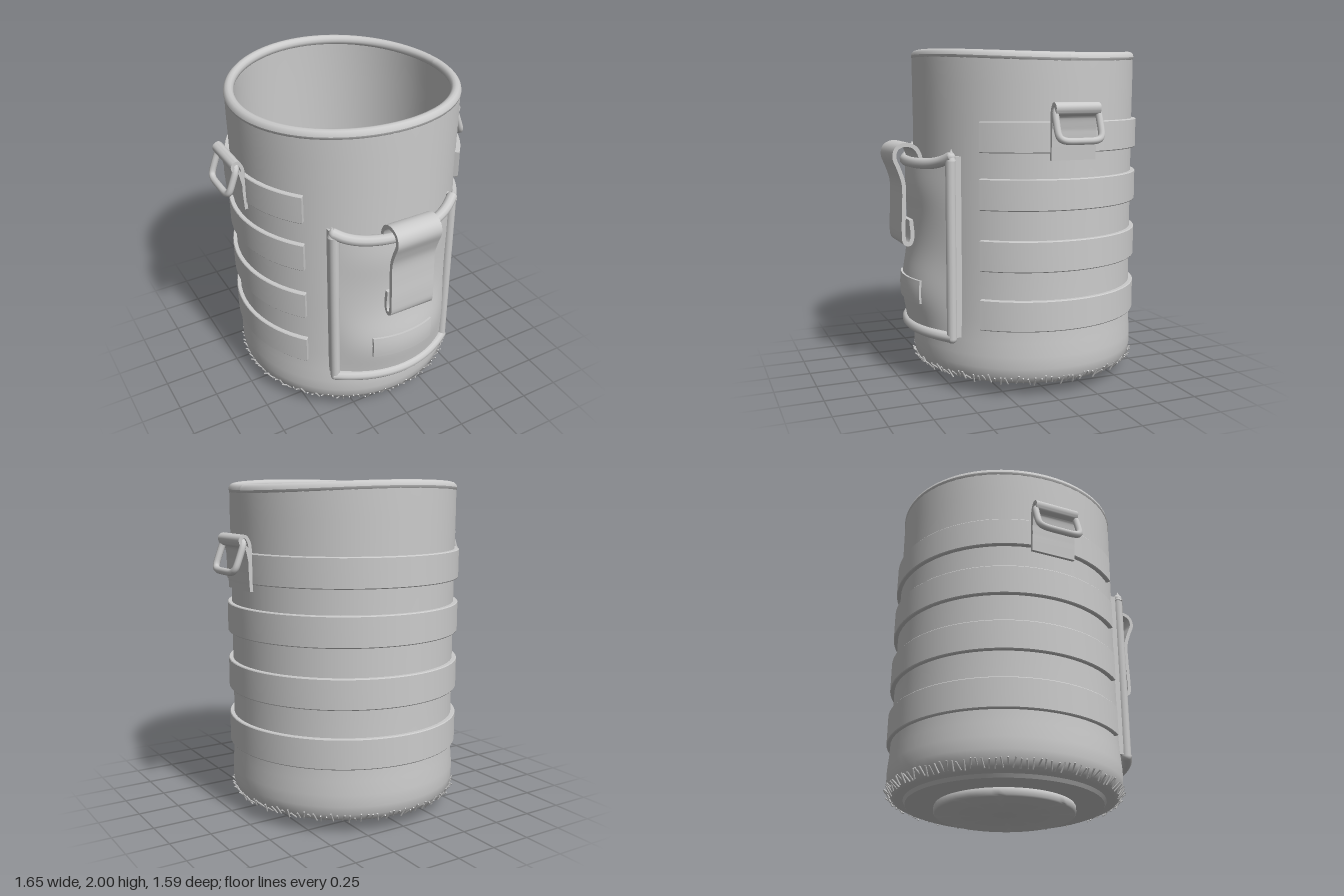
import * as THREE from 'three';
import { toCreasedNormals, mergeGeometries } from 'three/addons/utils/BufferGeometryUtils.js';

const CZ = -0.085; // axis of the bag along z
const grey = new THREE.MeshStandardMaterial({ color: 0xcccccc });
const greyBoth = new THREE.MeshStandardMaterial({ color: 0xcccccc, side: THREE.DoubleSide });

function add(parent, name, geometry, material = grey) {
  const mesh = new THREE.Mesh(geometry, material);
  mesh.name = name;
  parent.add(mesh);
  return mesh;
}

// Move every vertex by a rule
function warp(geometry, rule) {
  const p = geometry.attributes.position;
  const v = new THREE.Vector3();
  for (let i = 0; i < p.count; i++) {
    rule(v.fromBufferAttribute(p, i));
    p.setXYZ(i, v.x, v.y, v.z);
  }
  geometry.computeVertexNormals();
  return geometry;
}

// The opening sags a little at its left and right
const rimDip = (v, r) => 0.028 * (v.x / r) ** 2 * THREE.MathUtils.smoothstep(v.y, 1.6, 1.95);

// Folded webbing: profile points are [z, y], extruded across x
function ribbon(points, thickness, width) {
  const curve = new THREE.CatmullRomCurve3(points.map(([z, y]) => new THREE.Vector3(z, y, 0)));
  const n = 48, a = [], b = [];
  for (let i = 0; i <= n; i++) {
    const p = curve.getPoint(i / n), t = curve.getTangent(i / n);
    const h = thickness / 2;
    a.push(new THREE.Vector2(p.x - t.y * h, p.y + t.x * h));
    b.unshift(new THREE.Vector2(p.x + t.y * h, p.y - t.x * h));
  }
  const g = new THREE.ExtrudeGeometry(new THREE.Shape([...a, ...b]), { depth: width, bevelEnabled: false });
  g.translate(0, 0, -width / 2).rotateY(-Math.PI / 2);
  return toCreasedNormals(g, 0.7);
}

function tube(points, radius, closed = false, segments = 64) {
  const curve = new THREE.CatmullRomCurve3(points, closed);
  return new THREE.TubeGeometry(curve, segments, radius, 10, closed);
}

// Pouch curvature: frame line, and the bulging panel inside it
const frameZ = (x) => 0.52 + 0.14 * (1 - (x / 0.4) ** 2);
const topY = (x) => 1.335 + 0.055 * Math.abs(x / 0.4) ** 5;
function panelZ(x, y) {
  const side = 1 - Math.min(1, Math.abs(x / 0.4)) ** 4;
  const low = Math.exp(-(((y - 0.56) / 0.2) ** 2)) * 0.042;
  const high = Math.exp(-(((y - 1.2) / 0.15) ** 2)) * 0.012;
  return frameZ(x) - 0.01 + side * (low + high);
}

function createBody() {
  const body = new THREE.Group();
  body.name = 'body';
  body.position.z = CZ;

  // Outer wall, rounded base and hollow inside
  const profile = [
    [0, 0.07], [0.64, 0.07], [0.67, 0.085], [0.69, 0.12], [0.698, 0.17], [0.698, 0.24],
    [0.691, 0.32], [0.686, 0.45], [0.685, 0.8], [0.685, 1.2], [0.685, 1.6], [0.687, 1.8], [0.687, 1.965],
    [0.64, 1.965], [0.645, 1.7], [0.645, 1.2], [0.645, 0.6], [0.635, 0.16], [0.6, 0.12], [0, 0.11],
  ].map(([r, y]) => new THREE.Vector2(r, y));
  const shell = warp(new THREE.LatheGeometry(profile, 64), (v) => { v.y -= rimDip(v, 0.687); });
  add(body, 'shell', toCreasedNormals(shell, 0.6));

  // Rolled rim
  const rim = new THREE.TorusGeometry(0.66, 0.031, 12, 96);
  rim.rotateX(Math.PI / 2).translate(0, 1.969, 0);
  add(body, 'rim', warp(rim, (v) => { v.y -= rimDip(v, 0.66); }));

  // Base plate and foot
  add(body, 'basePlate', new THREE.CylinderGeometry(0.6, 0.585, 0.025, 64)).position.y = 0.062;
  const foot = [[0, 0], [0.41, 0], [0.418, 0.008], [0.418, 0.04], [0.41, 0.055]];
  const footLathe = new THREE.LatheGeometry(foot.map((p) => new THREE.Vector2(...p)), 64);
  add(body, 'foot', toCreasedNormals(footLathe, 0.9));

  // Stitches round the bottom seam, uneven by a simple rule
  const stitches = [];
  const count = 130;
  for (let i = 0; i < count; i++) {
    const s = new THREE.CylinderGeometry(0.005, 0.005, 0.06, 5);
    s.rotateZ(-0.7 + 0.25 * Math.sin(i * 2.4)).rotateX(0.3 * Math.sin(i * 1.7));
    s.translate(0.685, 0.1 + 0.006 * Math.sin(i * 5.1), 0);
    s.rotateY((i / count) * Math.PI * 2);
    stitches.push(s);
  }
  add(body, 'bottomStitching', mergeGeometries(stitches));
  return body;
}

function createBands() {
  const bands = new THREE.Group();
  bands.name = 'bands';
  bands.position.z = CZ;
  // Open ring with its gap at the front
  const gap = 0.83;
  const start = -Math.PI / 2 + gap, end = Math.PI * 1.5 - gap;
  const shape = new THREE.Shape();
  shape.absarc(0, 0, 0.707, start, end, false);
  shape.absarc(0, 0, 0.672, end, start, true);
  for (const [y0, y1] of [[0.395, 0.575], [0.74, 0.92], [1.09, 1.27], [1.415, 1.59]]) {
    const g = new THREE.ExtrudeGeometry(shape, {
      depth: y1 - y0 - 0.01, curveSegments: 64, bevelSize: 0.004, bevelThickness: 0.005, bevelSegments: 1,
    });
    g.rotateX(-Math.PI / 2);
    add(bands, 'band', toCreasedNormals(g, 0.5)).position.y = y0 + 0.005;
  }
  return bands;
}

function createPouch() {
  const pouch = new THREE.Group();
  pouch.name = 'pouch';

  // Bulging front panel
  const panel = warp(new THREE.PlaneGeometry(0.8, 1, 32, 40), (v) => {
    v.y = THREE.MathUtils.lerp(0.33, topY(v.x), v.y + 0.5);
    v.z = panelZ(v.x, v.y);
  });
  add(pouch, 'pouchPanel', panel, greyBoth);

  // Piped edges, with the side pipes rising to small ears
  const across = (yAt) => Array.from({ length: 17 }, (_, i) => {
    const x = -0.4 + i * 0.05;
    return new THREE.Vector3(x, yAt(x), frameZ(x));
  });
  add(pouch, 'topPiping', tube(across(topY), 0.032));
  add(pouch, 'bottomPiping', tube(across(() => 0.33), 0.032));
  for (const s of [-1, 1]) {
    const side = new THREE.CapsuleGeometry(0.03, 1.06, 6, 12);
    add(pouch, 'sidePiping', side).position.set(s * 0.392, 0.855, 0.523);
    const ear = new THREE.ConeGeometry(0.028, 0.07, 10);
    add(pouch, 'pouchEar', ear).position.set(s * 0.402, 1.4, 0.521);
    // Gusset from the piping back to the body
    add(pouch, 'gusset', new THREE.BoxGeometry(0.025, 1.06, 0.06)).position.set(s * 0.395, 0.86, 0.49);
  }

  // Raised label patch following the panel
  const label = warp(new THREE.BoxGeometry(0.41, 0.14, 0.02, 16, 6, 1).translate(0, 0.57, 0), (v) => {
    v.z += panelZ(v.x, v.y) + 0.003;
  });
  add(pouch, 'patch', toCreasedNormals(label, 0.6));

  // Folded closing strap over the top edge
  const strap = [
    [0.625, 1.3], [0.625, 1.37], [0.655, 1.425], [0.71, 1.445], [0.765, 1.425], [0.782, 1.375], [0.755, 1.3],
    [0.73, 1.22], [0.728, 1.1], [0.734, 0.95], [0.728, 0.865], [0.7, 0.853], [0.682, 0.89], [0.688, 1.0],
  ];
  add(pouch, 'closingStrap', ribbon(strap, 0.024, 0.285));
  return pouch;
}

// Side loop of webbing holding a hanging ring; built facing +z, turned to face outwards
function createRingMount(s) {
  const mount = new THREE.Group();
  mount.name = s > 0 ? 'leftRingMount' : 'rightRingMount';
  const tab = [
    [0.702, 1.375], [0.708, 1.5], [0.705, 1.6], [0.715, 1.66], [0.738, 1.687],
    [0.765, 1.672], [0.758, 1.64], [0.73, 1.625], [0.712, 1.56], [0.695, 1.45],
  ];
  add(mount, 'tab', ribbon(tab, 0.02, 0.275), greyBoth);
  const corners = Array.from({ length: 48 }, (_, i) => {
    const t = (i / 48) * Math.PI * 2;
    const soft = (c) => Math.sign(c) * Math.abs(c) ** 0.4;
    const down = (1 - soft(Math.sin(t))) / 2;
    return new THREE.Vector3(soft(Math.cos(t)) * 0.134, 1.665 - 0.18 * down, 0.737 + 0.067 * down);
  });
  add(mount, 'ring', tube(corners, 0.02, true, 96));
  mount.rotation.y = s * Math.PI / 2;
  mount.position.z = -0.095;
  return mount;
}

export function createModel() {
  const model = new THREE.Group();
  model.name = 'bucketBag';
  model.add(createBody(), createBands(), createPouch(), createRingMount(1), createRingMount(-1));
  return model;
}
